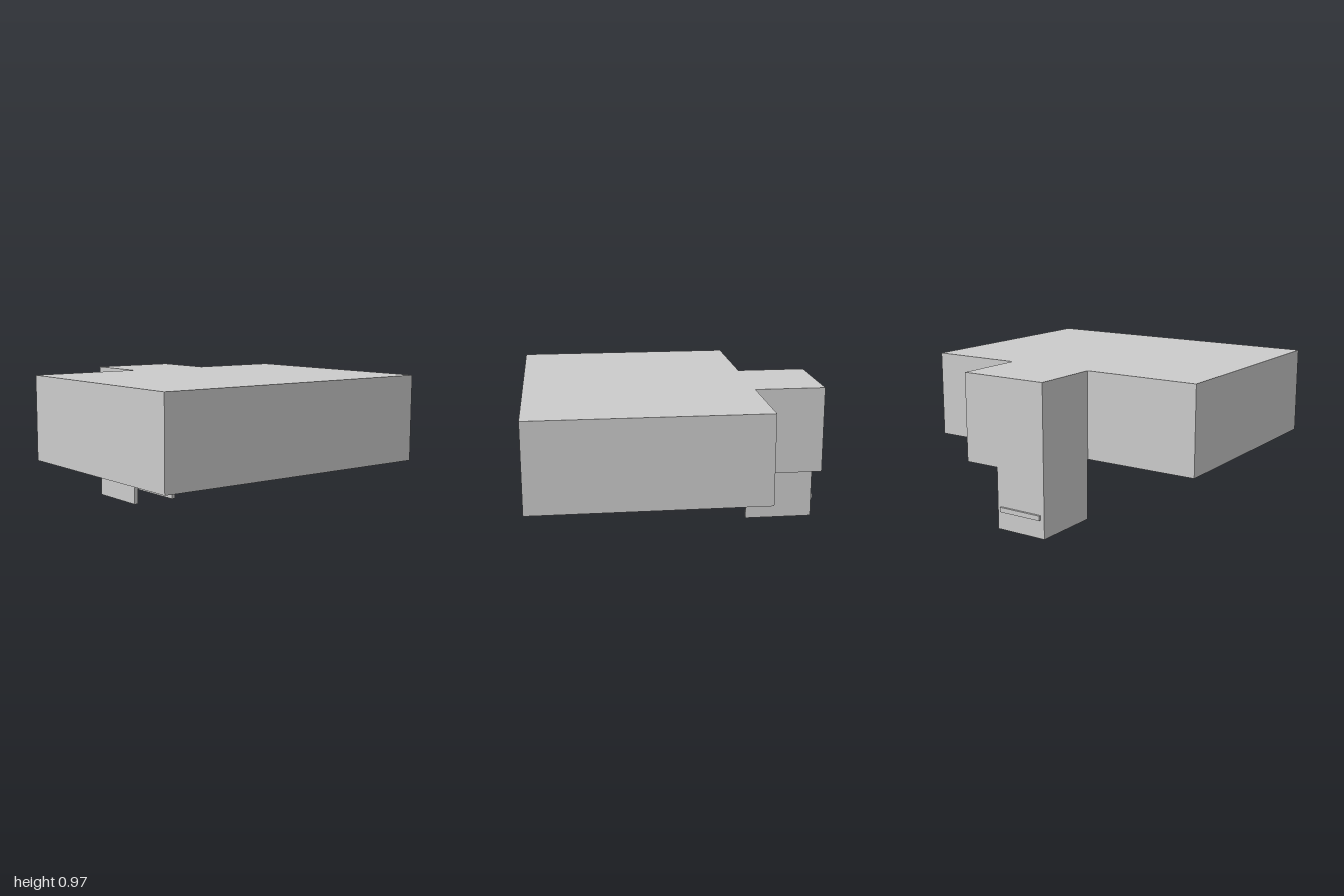
import * as THREE from 'three';

const material = new THREE.MeshStandardMaterial({ color: 0xcccccc, flatShading: true });

// Extrude a floor plan given as [x, z] points from y0 up to y1.
function extrudePlan(name, points, y0, y1) {
  const shape = new THREE.Shape(points.map(([x, z]) => new THREE.Vector2(x, -z)));
  const geometry = new THREE.ExtrudeGeometry(shape, { depth: y1 - y0, bevelEnabled: false });
  geometry.rotateX(-Math.PI / 2).translate(0, y0, 0);
  const mesh = new THREE.Mesh(geometry, material);
  mesh.name = name;
  return mesh;
}

export function createModel() {
  const model = new THREE.Group();
  model.name = 'hallWithStairwell';

  // Large hall with the landing room projecting from its -x side
  model.add(extrudePlan('hall', [
    [-0.51, 1], [0.985, 1], [0.985, -1], [-0.51, -1],
    [-0.51, -0.37], [-0.975, -0.37], [-0.975, 0.23], [-0.51, 0.23],
  ], 0.4, 0.973));

  // Stairwell: three walls, open underneath and towards the hall side
  model.add(extrudePlan('stairwellWalls', [
    [-0.513, 0.23], [-0.513, 0.2], [-0.965, 0.2], [-0.965, -0.1],
    [-0.513, -0.1], [-0.513, -0.13], [-0.975, -0.13], [-0.975, 0.23],
  ], 0, 0.4));

  // Floating flight of steps climbing towards the hall
  const stairs = new THREE.Group();
  stairs.name = 'stairs';
  const count = 9, bottom = 0.118, rise = (0.4 - bottom) / count;
  const startX = -0.99, run = (-0.508 - startX) / count;
  for (let i = 0; i < count; i++) {
    const step = new THREE.Mesh(new THREE.BoxGeometry(run, rise, 0.304), material);
    step.name = 'step';
    step.position.set(startX + (i + 0.5) * run, bottom + (i + 0.5) * rise, 0.05);
    stairs.add(step);
  }
  model.add(stairs);

  return model;
}
